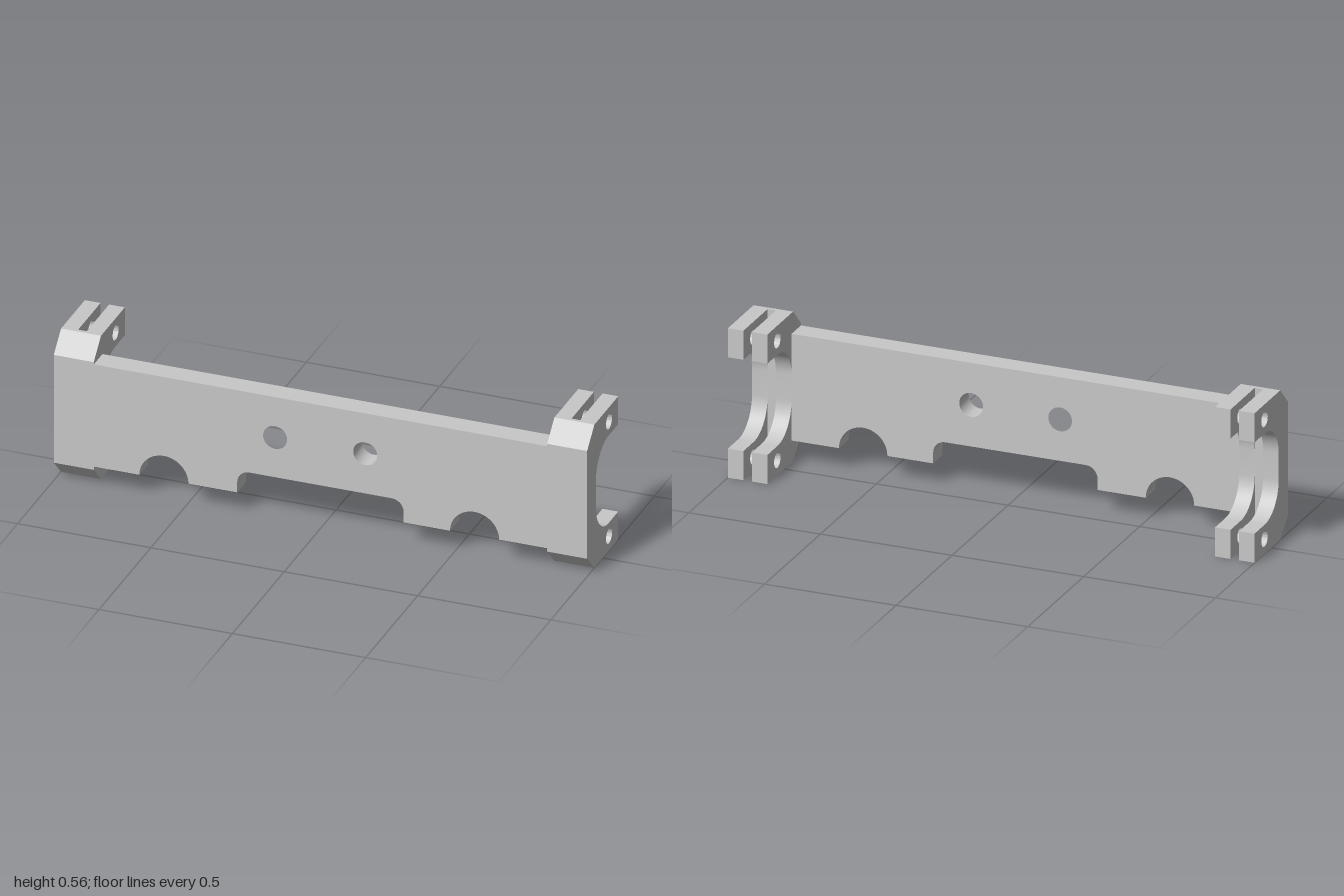
import * as THREE from 'three';
import { toCreasedNormals } from 'three/addons/utils/BufferGeometryUtils.js';

const INNER = 0.85, SLOT_A = 0.909, SLOT_B = 0.941, OUTER = 1;
const HEIGHT = 0.565, FRONT = 0.15, BACK = -0.15, WALL = 0.066;

// Points along an arc, both ends included
function arc(x, y, r, from, to, steps = 16) {
  return Array.from({ length: steps + 1 }, (_, i) => {
    const a = from + (to - from) * i / steps;
    return [x + r * Math.cos(a), y + r * Math.sin(a)];
  });
}

// Full circle without a repeated end point
const circle = (x, y, r) => arc(x, y, r, 0.05, 0.05 + Math.PI * 2, 32).slice(0, -1);

// Rounded vectors with repeated neighbours dropped
function outline(points) {
  return points
    .map(([x, y]) => new THREE.Vector2(Math.round(x * 1e5) / 1e5, Math.round(y * 1e5) / 1e5))
    .filter((p, i, all) => i === 0 || !p.equals(all[i - 1]));
}

function extrude(points, holes, depth) {
  const shape = new THREE.Shape(outline(points));
  shape.holes = holes.map((h) => new THREE.Path(outline(h)));
  return toCreasedNormals(new THREE.ExtrudeGeometry(shape, { depth, bevelEnabled: false }), 0.5);
}

// Half of the long plate, notched along its lower edge (x, y)
function plateHalf(side, cutX, holeX) {
  const bottom = 0.083, top = 0.486, notchX = 0.312, notchY = 0.17, r = 0.045;
  const mirror = (points) => points.map(([x, y]) => [side * x, y]);
  const edge = [
    [0, top], [0, notchY],
    ...arc(notchX - r, notchY - r, r, Math.PI / 2, 0, 8),
    [notchX, bottom],
    ...arc(cutX, bottom, 0.092, Math.PI, 0, 24),
    [INNER, bottom], [INNER, top],
  ];
  return extrude(mirror(edge), [mirror(circle(holeX, 0.327, 0.045))], FRONT - WALL)
    .translate(0, 0, WALL);
}

// C-shaped clamp cheek (z, y) with a pin hole in each arm
const R = 0.124, LOW = 0.11, HIGH = 0.455;
const cheek = [
  [FRONT, 0.07], [FRONT, 0.495], [0.08, HEIGHT], [BACK, HEIGHT], [BACK, HIGH],
  ...arc(WALL - R, HIGH - R, R, Math.PI / 2, 0),
  ...arc(WALL - R, LOW + R, R, 0, -Math.PI / 2),
  [BACK, LOW], [BACK, 0], [0.08, 0],
];
const pinHoles = [circle(-0.061, 0.509, 0.029), circle(-0.061, 0.057, 0.029)];

// Web closing the front of the slot between two cheeks (z, y)
const web = [
  [FRONT, 0.07], [FRONT, 0.495], [0.08, HEIGHT], [WALL, HEIGHT], [WALL, 0], [0.08, 0],
];

export function createModel() {
  const model = new THREE.Group();
  model.name = 'mountingBracket';
  const grey = new THREE.MeshStandardMaterial({ color: 0xc8c8c8 });
  grey.name = 'light grey';

  const add = (parent, name, geometry) => {
    const mesh = new THREE.Mesh(geometry, grey);
    mesh.name = name;
    parent.add(mesh);
  };

  add(model, 'leftPlate', plateHalf(1, 0.578, 0.168));
  add(model, 'rightPlate', plateHalf(-1, 0.587, 0.17));

  // Slotted clamp at each end, its side profile swept across x
  for (const side of [-1, 1]) {
    const clamp = new THREE.Group();
    clamp.name = side > 0 ? 'leftClamp' : 'rightClamp';
    const part = (name, profile, holes, a, b) =>
      add(clamp, name, extrude(profile, holes, b - a)
        .rotateY(-Math.PI / 2)
        .translate(side > 0 ? b : -a, 0, 0));
    part('innerCheek', cheek, pinHoles, INNER, SLOT_A);
    part('web', web, [], SLOT_A, SLOT_B);
    part('outerCheek', cheek, pinHoles, SLOT_B, OUTER);
    model.add(clamp);
  }
  return model;
}
